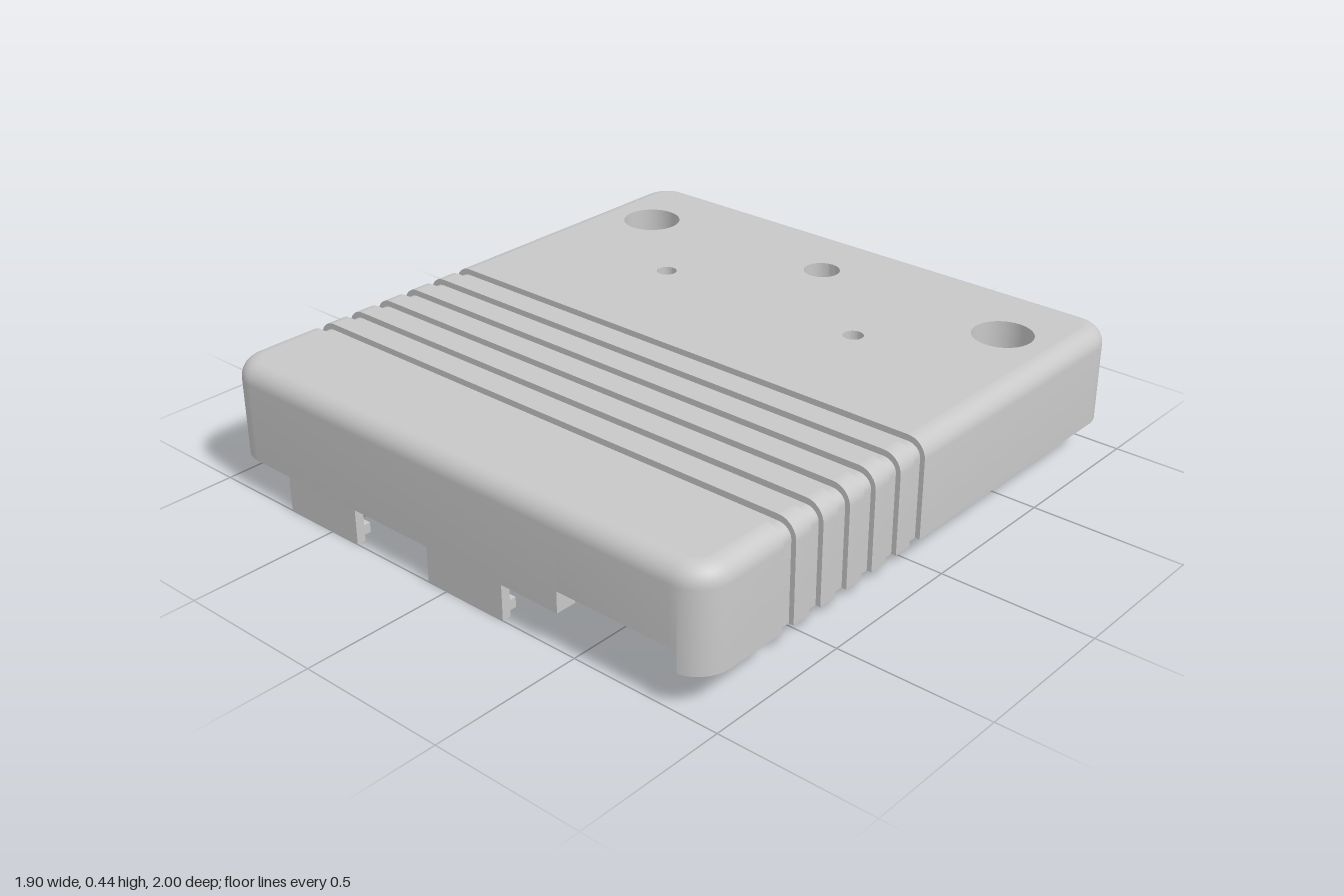
import * as THREE from 'three';
import { toCreasedNormals } from 'three/addons/utils/BufferGeometryUtils.js';

const CX = 0.84, CZ = 0.89, R = 0.11;          // corner centres and plan radius
const BASE = 0.117, CEIL = 0.36, MID = 0.39, TOP = 0.435, EDGE = 0.06, WALL = 0.07;
const SIDE_CUT = 0.016, TOP_CUT = 0.02;        // groove depths
const grooves = [0.05, 0.166, 0.282, 0.398, 0.514, 0.63].map(z => [z, z + 0.05]);

export function createModel() {
  const group = new THREE.Group();
  const plastic = new THREE.MeshStandardMaterial({ color: 0xc8c8c8 });
  plastic.name = 'grey plastic';

  const add = (name, geometry) => {
    const mesh = new THREE.Mesh(geometry, plastic);
    mesh.name = name;
    group.add(mesh);
  };
  const box = (name, x0, x1, y0, y1, z0, z1) =>
    add(name, new THREE.BoxGeometry(x1 - x0, y1 - y0, z1 - z0)
      .translate((x0 + x1) / 2, (y0 + y1) / 2, (z0 + z1) / 2));
  const slab = (name, shape, y0, y1, x = 0, z = 0) => {
    const g = new THREE.ExtrudeGeometry(shape, { depth: y1 - y0, bevelEnabled: false, curveSegments: 24 });
    g.rotateX(-Math.PI / 2).translate(x, y0, z);
    add(name, toCreasedNormals(g, 0.6));
  };
  const circle = (r, x = 0, z = 0) => new THREE.Path().absarc(x, -z, r, 0, Math.PI * 2);
  const disc = (r, hole) => {
    const s = new THREE.Shape().absarc(0, 0, r, 0, Math.PI * 2);
    s.holes.push(hole);
    return s;
  };

  // Plan outline: each point has a base, an outward normal, a rim lift and a groove flag
  const outline = [];
  const point = (x, z, nx, nz, lift = 0, groove = 0) => outline.push({ x, z, nx, nz, lift, groove });
  const corner = (sx, sz, start, from = 0, to = 8, lift = 0) => {
    for (let i = from; i <= to; i++) {
      const a = (start + i / 8) * Math.PI / 2;
      point(sx * CX, sz * CZ, Math.cos(a), Math.sin(a), lift);
    }
  };
  const grooveSide = sx => {
    const list = grooves.flatMap(([a, b]) => [[a, 0], [a, 1], [b, 1], [b, 0]]);
    if (sx < 0) list.reverse();
    for (const [z, g] of list) point(sx * CX, z, sx, 0, 0, g);
  };
  corner(1, 1, 0, 0, 7);
  corner(1, 1, 0, 7, 8, 0.07);                 // front cable opening
  point(0.44, CZ, 0, 1, 0.07);
  point(0.44, CZ, 0, 1);
  corner(-1, 1, 1);
  grooveSide(-1);
  corner(-1, -1, 2);
  point(-0.65, -CZ, 0, -1);                    // wide rear opening with rounded ends
  for (const s of [-1, 1]) for (let i = 0; i <= 6; i++) {
    const a = (s < 0 ? i : 6 - i) / 6 * Math.PI / 2;
    point(s * (0.6 + 0.05 * Math.cos(a)), -CZ, 0, -1, 0.01 + 0.05 * Math.sin(a));
  }
  point(0.65, -CZ, 0, -1);
  corner(1, -1, 3);
  grooveSide(1);

  // Wall section: inner face, rim, outer face, rounded top edge
  const profile = [
    { d: WALL, y: CEIL + 0.01, a: 0, inner: 1 },
    { d: WALL, y: BASE, a: 0, inner: 1, rim: 1 },
    { d: 0, y: BASE, a: 0, rim: 1 }
  ];
  for (let i = 0; i <= 8; i++) {
    const a = i / 8 * Math.PI / 2;
    profile.push({ d: EDGE * (1 - Math.cos(a)), y: TOP - EDGE + EDGE * Math.sin(a), a });
  }
  const pos = [], index = [], n = outline.length;
  profile.forEach((p, i) => outline.forEach((o, j) => {
    const cut = p.inner ? 0 : o.groove;
    const r = R - p.d - cut * SIDE_CUT * Math.cos(p.a);
    pos.push(o.x + o.nx * r, p.y - cut * TOP_CUT * Math.sin(p.a) + (p.rim ? o.lift : 0), o.z + o.nz * r);
    if (i + 1 < profile.length) {
      const a = i * n + j, b = i * n + (j + 1) % n;
      index.push(a, a + n, b, b, a + n, b + n);
    }
  }));
  const shell = new THREE.BufferGeometry();
  shell.setAttribute('position', new THREE.Float32BufferAttribute(pos, 3));
  shell.setIndex(index);
  add('outerWall', toCreasedNormals(shell, 0.6));

  // Top panel: rounded end plates with grooves and ridges between, over a ceiling plate
  const w = CX + R - EDGE;
  const endPlate = (sz, zEnd) => {
    const pts = [-1, 1].flatMap(sx => Array.from({ length: 9 }, (_, i) => {
      const a = (sx < 0 ? i : 8 - i) / 8 * Math.PI / 2, r = R - EDGE;
      return new THREE.Vector2(sx * (CX + r * Math.cos(a)), -sz * (CZ + r * Math.sin(a)));
    }));
    return new THREE.Shape([...pts, new THREE.Vector2(w, -zEnd), new THREE.Vector2(-w, -zEnd)]);
  };
  const screwHoles = () => [circle(0.06, 0, -0.72), ...[-1, 1].flatMap(s =>
    [circle(0.098, s * 0.73, -0.685), circle(0.033, s * 0.385, -0.375)])];
  const rear = endPlate(-1, grooves[0][0]);
  rear.holes.push(...screwHoles());
  slab('rearTopPanel', rear, MID, TOP);
  slab('frontTopPanel', endPlate(1, grooves[5][1]), MID, TOP);
  grooves.forEach(([a, b], i) => {
    box('grooveFloor', -w, w, MID, TOP - TOP_CUT, a, b);
    if (i < 5) box('topRidge', -w, w, MID, TOP, b, grooves[i + 1][0]);
  });
  const ceiling = endPlate(-1, 0.935);
  ceiling.holes.push(...screwHoles(), circle(0.07, -0.06, 0.4));   // last is a blind recess
  slab('ceilingPlate', ceiling, CEIL, MID);

  // Screw bosses with square seats, and small posts, mirrored
  const square = new THREE.Path([[-1, -1], [1, -1], [1, 1], [-1, 1]]
    .map(([x, y]) => new THREE.Vector2(x * 0.056, y * 0.056)));
  for (const s of [-1, 1]) {
    slab('bossSleeve', disc(0.122, circle(0.098)), 0.33, CEIL + 0.01, s * 0.73, -0.685);
    slab('bossSquareSeat', disc(0.122, square), 0.28, 0.33, s * 0.73, -0.685);
    slab('bossBottom', disc(0.122, circle(0.055)), 0.185, 0.28, s * 0.73, -0.685);
    slab('smallPost', disc(0.075, circle(0.033)), 0.285, CEIL + 0.01, s * 0.385, -0.375);
  }

  // Front snap tabs with inward hooks
  for (const x of [-0.69, -0.077]) {
    box('snapTab', x, x + 0.303, 0, BASE, 0.97, 1);
    box('snapHook', x, x + 0.303, 0.02, 0.053, 0.948, 0.98);
  }

  // Inner stiffening rib and side locating lip
  box('frontRib', -0.68, 0.295, 0.19, CEIL + 0.01, 0.895, 0.95);
  box('sideLip', -0.95, -0.88, 0.063, BASE, 0.35, 0.82);

  return group;
}
